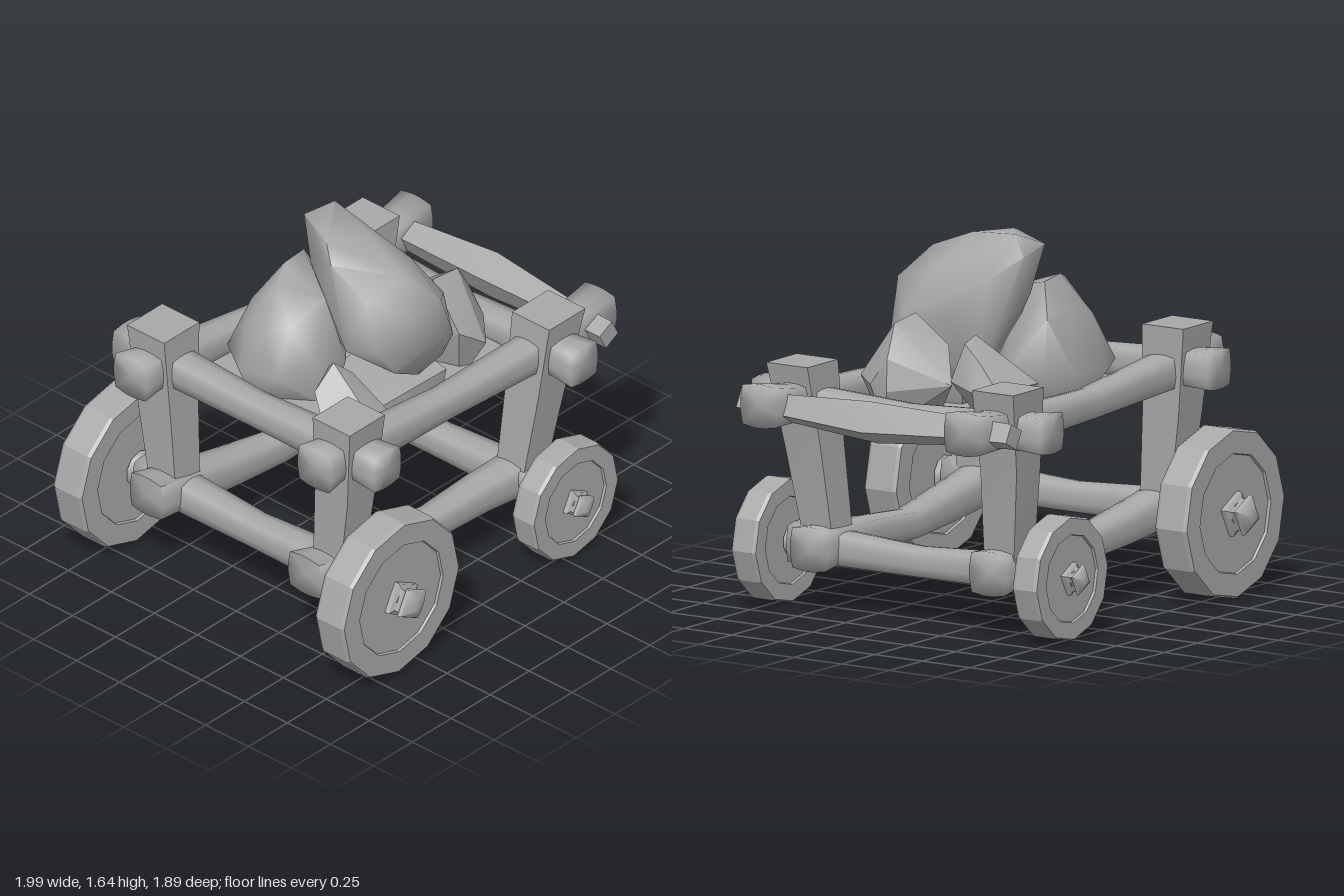
import * as THREE from 'three';
import { toCreasedNormals } from 'three/addons/utils/BufferGeometryUtils.js';
import { ConvexGeometry } from 'three/addons/geometries/ConvexGeometry.js';

// Double-sided because the bed is an open sheet
const stone = new THREE.MeshStandardMaterial({ color: 0xa8a8a8, side: THREE.DoubleSide });
stone.name = 'plain grey';

// Cross-section outlines of unit half-width
const square = (turn = 0) => [45, 135, 225, 315].map((d) => {
  const a = THREE.MathUtils.degToRad(d + turn);
  return [Math.SQRT2 * Math.cos(a), Math.SQRT2 * Math.sin(a)];
});
const roundedSquare = Array.from({ length: 12 }, (_, i) => {
  const a = i * Math.PI / 6 + Math.PI / 12, c = Math.cos(a), s = Math.sin(a);
  const k = Math.pow(c ** 6 + s ** 6, -1 / 6);
  return [c * k, s * k];
});

// Skin an outline along one axis; each station is [x, y, z, halfU, halfV]
function loft(axis, outline, stations, crease) {
  const w = 'xyz'.indexOf(axis), u = (w + 1) % 3, v = (w + 2) % 3;
  const n = outline.length, pos = [], index = [];
  for (const st of stations) {
    for (const [a, b] of outline) {
      const p = st.slice(0, 3);
      p[u] += a * st[3];
      p[v] += b * (st[4] ?? st[3]);
      pos.push(...p);
    }
  }
  const last = (stations.length - 1) * n, c0 = stations.length * n;
  pos.push(...stations[0].slice(0, 3), ...stations.at(-1).slice(0, 3));
  for (let j = 0; j < n; j++) {
    const k = (j + 1) % n;
    for (let i = 0; i < last; i += n) {
      index.push(i + j, i + k, i + n + k, i + j, i + n + k, i + n + j);
    }
    index.push(c0, k, j, c0 + 1, last + j, last + k);
  }
  const g = new THREE.BufferGeometry();
  g.setAttribute('position', new THREE.Float32BufferAttribute(pos, 3));
  g.setIndex(index);
  return toCreasedNormals(g, crease);
}

// Beams are shaded softly right round their ends
const beam = (axis, stations) => loft(axis, roundedSquare, stations, 1.8);

export function createModel() {
  const model = new THREE.Group();
  model.name = 'rockCart';
  const add = (name, geometry, parent = model) => {
    const mesh = new THREE.Mesh(geometry, stone);
    mesh.name = name;
    parent.add(mesh);
    return mesh;
  };

  for (const s of [1, -1]) {
    const side = s > 0 ? 'Front' : 'Back';

    // Upper and lower long rails, waisted in the middle and flared at the ends
    add('upperRail' + side, beam('x', [
      [-0.84, 1.02, s * 0.535, 0.097], [-0.72, 1.015, s * 0.53, 0.083], [-0.5, 0.985, s * 0.525, 0.075],
      [0, 0.935, s * 0.508, 0.062], [0.5, 0.935, s * 0.525, 0.072], [0.8, 0.95, s * 0.53, 0.082],
      [0.995, 0.965, s * 0.535, 0.097],
    ]));
    add('lowerRail' + side, beam('x', [
      [-0.82, 0.43, s * 0.46, 0.095], [-0.62, 0.385, s * 0.465, 0.085], [-0.3, 0.335, s * 0.455, 0.075],
      [0, 0.295, s * 0.445, 0.063], [0.3, 0.305, s * 0.455, 0.073], [0.56, 0.3, s * 0.465, 0.085],
      [0.71, 0.295, s * 0.47, 0.098],
    ]));

    // Tapered corner posts
    add('rearPost' + side, loft('y', square(), [
      [-0.62, 0.34, s * 0.47, 0.075, 0.075], [-0.62, 0.8, s * 0.515, 0.095, 0.09],
      [-0.624, 1.19, s * 0.54, 0.108, 0.113],
    ], 0.2));
    add('frontPost' + side, loft('y', square(), [
      [0.55, 0.27, s * 0.47, 0.075, 0.075], [0.605, 0.75, s * 0.515, 0.095, 0.09],
      [0.66, 1.11, s * 0.54, 0.108, 0.116],
    ], 0.2));
  }

  // Upper cross rails and thick axle beams
  for (const [name, x, y, end] of [
    ['rearCrossRail', -0.62, 1.01, 0.76], ['frontCrossRail', 0.643, 0.935, 0.76],
    ['rearAxleBeam', -0.62, 0.385, 0.64], ['frontAxleBeam', 0.545, 0.29, 0.64],
  ]) {
    add(name, beam('z', [-1, -0.82, -0.6, 0, 0.6, 0.82, 1].map((t) => {
      const flare = Math.abs(t);
      return [x, y - 0.02 * (1 - flare), t * end, 0.064 + 0.026 * flare * flare];
    })));
  }

  // Pull bar across the nose, thickest at the centre
  add('pullBar', loft('z', square(28), [
    [0.86, 0.95, -0.71, 0.044], [0.87, 0.95, -0.45, 0.05], [0.898, 0.94, 0, 0.072],
    [0.88, 0.945, 0.42, 0.05], [0.87, 0.95, 0.7, 0.044],
  ], 0.3));

  // Wheels: twelve-sided discs with a recessed centre, axle stub and square nut
  for (const [name, x, y, r, zIn, zOut, k] of [
    ['rearWheel', -0.622, 0.383, 0.378, 0.68, 0.845, 1],
    ['frontWheel', 0.548, 0.286, 0.276, 0.675, 0.8, 0.74],
  ]) {
    for (const s of [1, -1]) {
      const wheel = new THREE.Group();
      wheel.name = name + (s > 0 ? 'Front' : 'Back');
      wheel.position.set(x, y, 0);
      if (s < 0) wheel.rotation.y = Math.PI;
      model.add(wheel);
      const profile = [
        [0, zIn + 0.012], [r * 0.7, zIn + 0.012], [r * 0.71, zIn], [r * 0.975, zIn], [r, zIn + 0.016],
        [r, zOut - 0.016], [r * 0.975, zOut], [r * 0.71, zOut], [r * 0.7, zOut - 0.012], [0, zOut - 0.012],
      ].map(([a, b]) => new THREE.Vector2(a, b));
      const disc = new THREE.LatheGeometry(profile, 12).rotateX(Math.PI / 2).rotateZ(-0.05 * s);
      add('disc', toCreasedNormals(disc, 0.3), wheel);
      const stub = new THREE.CylinderGeometry(0.055 * k, 0.06 * k, zOut - 0.55, 10).rotateX(Math.PI / 2);
      add('axleStub', stub.translate(0, 0, (zOut + 0.55) / 2 + 0.02), wheel);
      const collar = new THREE.CylinderGeometry(0.085 * k, 0.075 * k, 0.03, 10).rotateX(Math.PI / 2);
      add('collar', collar.translate(0, 0, zIn - 0.015), wheel);
      add('nut', loft('z', square(s * -28), [
        [0, 0, zOut - 0.02, 0.07 * k], [0, 0, zOut + 0.012 * k, 0.07 * k], [0, 0, zOut + 0.02 * k, 0.05 * k],
        [0, 0, zOut + 0.045 * k, 0.05 * k], [0, 0, zOut + 0.055 * k, 0.066 * k],
        [0, 0, zOut + 0.07 * k, 0.06 * k], [0, 0, zOut + 0.1 * k, 0.026 * k],
      ], 1.2), wheel);
    }
  }

  // Sloping bed between the rails
  const bed = add('bed', new THREE.PlaneGeometry(1.22, 0.94).rotateX(-Math.PI / 2));
  bed.position.y = 0.905;
  bed.rotation.z = -0.04;

  // Boulders, each the hull of a few corner points
  const rock = (name, crease, points) => add(name, toCreasedNormals(
    new ConvexGeometry(points.map((p) => new THREE.Vector3(...p))), crease));

  rock('topBoulder', 1.2, [
    [0.07, 1.65, -0.17], [-0.04, 1.6, -0.25], [0.11, 1.56, -0.24], [-0.17, 1.62, 0], [-0.23, 1.57, 0.08],
    [0.19, 1.46, -0.11], [-0.13, 1.45, -0.13], [0.03, 1.5, -0.245], [0.21, 1.36, 0], [-0.21, 1.42, 0.02],
    [-0.22, 1.46, 0.28], [-0.04, 1.53, 0.34], [0.08, 1.4, 0.44], [-0.1, 1.38, 0.44], [0.15, 1.48, 0.2],
    [-0.29, 1.22, 0.22], [-0.25, 1.25, 0.35], [0.27, 1.28, 0.28], [0.27, 1.12, 0.25], [0.22, 1, 0.32],
    [0.02, 1.01, 0.36], [-0.12, 1.08, 0.35], [0.08, 1.22, 0.46], [0.2, 1.15, 0.4], [0.24, 1.3, 0.08],
    [0.1, 1, 0], [-0.1, 1.1, 0], [0, 1.38, -0.2], [0, 1.62, 0.1],
  ]);
  rock('rearBoulder', 1.2, [
    [-0.32, 1.4, -0.16], [-0.2, 1.44, -0.22], [-0.05, 1.43, -0.24], [-0.12, 1.3, -0.32], [0.03, 1.28, -0.31],
    [-0.4, 1.05, -0.37], [-0.28, 1.02, -0.41], [-0.05, 1.04, -0.4], [0.09, 1.02, -0.33], [0.12, 1.05, -0.15],
    [-0.51, 1.04, -0.2], [-0.5, 1.08, 0], [-0.45, 1.24, -0.12], [-0.41, 1.22, -0.25], [-0.3, 1.26, -0.32],
    [-0.36, 1.15, 0.1], [-0.2, 1.1, 0.14], [-0.4, 1.3, 0], [-0.2, 1.36, 0.02], [-0.48, 0.9, -0.15],
    [-0.25, 0.84, 0.1], [0.05, 0.83, -0.1], [-0.1, 0.84, -0.34],
  ]);
  rock('noseBoulder', 0.45, [
    [0.29, 1.3, 0.2], [0.45, 1.28, 0.2], [0.55, 1.14, 0.17], [0.42, 1.03, -0.08], [0.3, 1.18, 0.02],
    [0.57, 1, 0.16], [0.55, 1.02, 0.26], [0.39, 1.02, 0.42], [0.25, 1.12, 0.39], [0.24, 1.05, 0.2],
    [0.51, 0.82, 0.2], [0.35, 0.79, 0.3], [0.25, 0.86, 0.1],
  ]);
  rock('cornerRock', 0.45, [
    [0.3, 1.24, -0.12], [0.41, 1.22, -0.14], [0.47, 1.16, -0.26], [0.32, 1.15, -0.28], [0.24, 1.05, -0.41],
    [0.52, 1.05, -0.39], [0.53, 1.04, -0.25], [0.43, 1.05, -0.08], [0.28, 1.05, -0.1], [0.21, 1.02, -0.24],
    [0.3, 0.86, -0.2], [0.45, 0.86, -0.3],
  ]);
  rock('sideRock', 0.45, [
    [-0.38, 1.21, 0.23], [-0.48, 1.1, 0.21], [-0.54, 0.95, 0.33], [-0.33, 1.14, 0.16], [-0.28, 1.12, 0.25],
    [-0.24, 0.98, 0.42], [-0.37, 1.02, 0.42], [-0.45, 0.88, 0.25], [-0.3, 0.84, 0.3],
  ]);
  // Filler stone under the pile
  rock('lowerBoulder', 0.8, [
    [-0.22, 0.96, 0.36], [0.18, 0.97, 0.38], [0.23, 1, 0], [-0.28, 1, 0.05], [-0.08, 0.83, 0.38],
    [0.18, 0.83, 0.35], [0.15, 0.83, 0.05], [-0.1, 0.83, 0.05],
  ]);

  return model;
}
